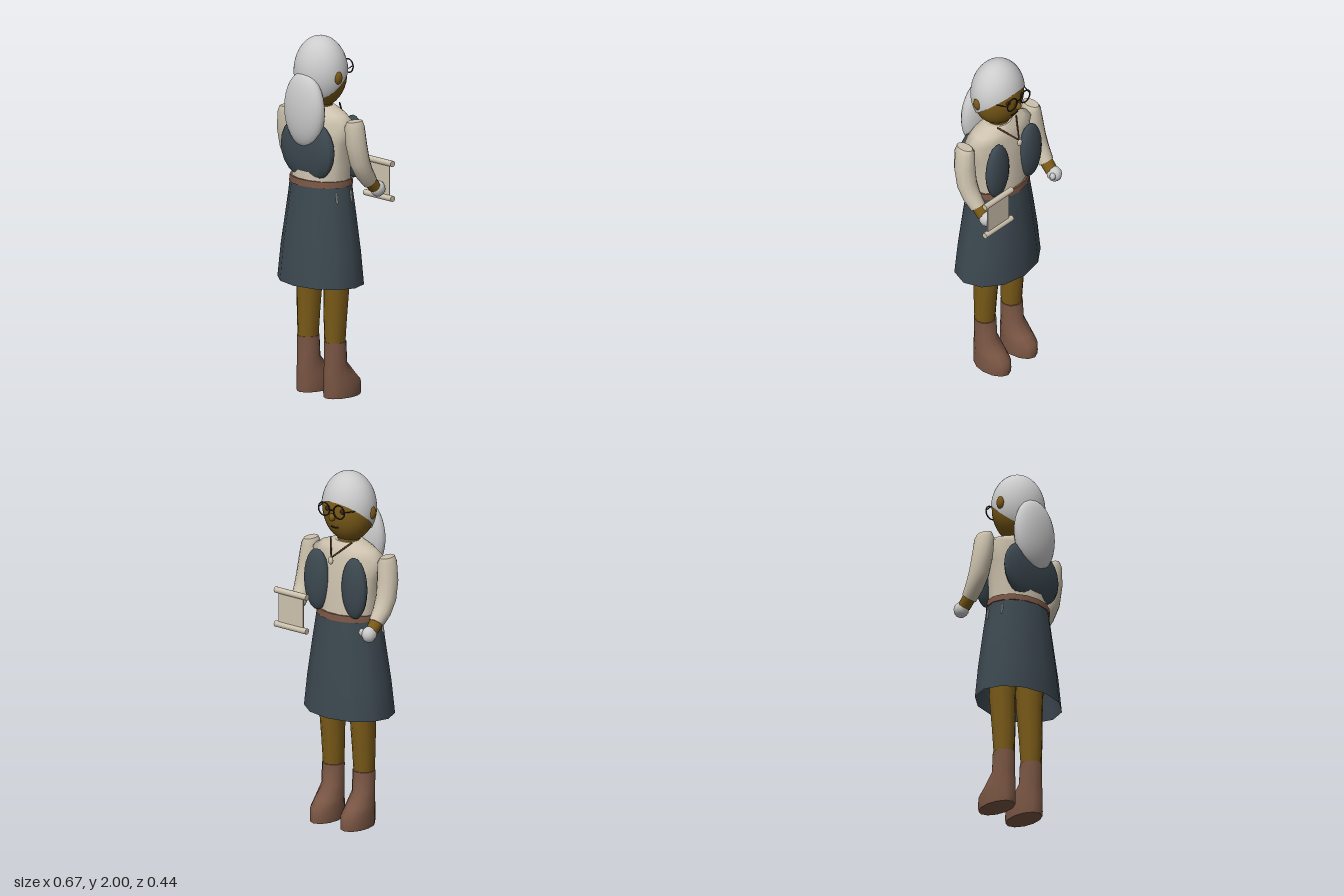
import * as THREE from 'three';

const mat = (color) => new THREE.MeshStandardMaterial({ color, side: THREE.DoubleSide });
const M = {
  hair: mat(0xcccccc), skin: mat(0x7a5a18), cloth: mat(0x3c4850), shirt: mat(0xcdc2ae),
  leather: mat(0x7a5644), dark: mat(0x33241c), cord: mat(0x5a3a20),
};

// Skin elliptical rings, bottom to top: [x, y, z, rx, rz, tilt]
function loft(rings, sides, capped = true) {
  const list = rings.slice();
  if (capped) {
    const closed = (r) => [r[0], r[1], r[2], 0, 0, 0];
    const first = rings[0], last = rings[rings.length - 1];
    list.unshift(closed(first), first);
    list.push(last, closed(last));
  }
  const pos = [], idx = [];
  list.forEach(([x, y, z, rx, rz, tilt = 0], j) => {
    for (let i = 0; i < sides; i++) {
      const a = (i / sides) * Math.PI * 2, s = Math.sin(a) * rz;
      pos.push(x + rx * Math.cos(a), y - s * Math.sin(tilt), z + s * Math.cos(tilt));
      if (j < list.length - 1) {
        const p = j * sides + i, q = j * sides + (i + 1) % sides;
        idx.push(p, p + sides, q, q, p + sides, q + sides);
      }
    }
  });
  const g = new THREE.BufferGeometry();
  g.setAttribute('position', new THREE.Float32BufferAttribute(pos, 3));
  g.setIndex(idx);
  g.computeVertexNormals();
  return g;
}

export function createModel() {
  const model = new THREE.Group();
  model.name = 'figure';
  const body = new THREE.Group();
  body.name = 'body';
  body.position.x = -0.005;
  model.add(body);

  const add = (name, geo, material, x = 0, y = 0, z = 0) => {
    const m = new THREE.Mesh(geo, material);
    m.name = name;
    m.position.set(x, y, z);
    body.add(m);
    return m;
  };
  const ball = (name, material, [x, y, z], [rx, ry, rz], w = 12, h = 9) => {
    const m = add(name, new THREE.SphereGeometry(1, w, h), material, x, y, z);
    m.scale.set(rx, ry, rz);
    return m;
  };
  const tube = (name, pts, r, material) => {
    const path = new THREE.CurvePath();
    const v = pts.map((p) => new THREE.Vector3(...p));
    for (let i = 1; i < v.length; i++) path.add(new THREE.LineCurve3(v[i - 1], v[i]));
    return add(name, new THREE.TubeGeometry(path, (v.length - 1) * 6, r, 6), material);
  };

  // Head with a tilted hair cap that leaves the face (-z) open
  ball('head', M.skin, [0, 1.8, 0.012], [0.152, 0.194, 0.135], 28, 20);
  const cap = new THREE.SphereGeometry(1, 32, 18, 0, Math.PI * 2, 0, 1.845);
  cap.rotateX(0.555).scale(0.157, 0.2, 0.141);
  add('hairCap', cap, M.hair, 0, 1.8, 0.013);
  ball('backHair', M.hair, [0, 1.605, 0.135], [0.146, 0.21, 0.066], 24, 16);
  add('neck', new THREE.CylinderGeometry(0.06, 0.065, 0.12, 12), M.skin, 0, 1.61, 0.01);

  // Face
  ball('nose', M.skin, [0, 1.775, -0.137], [0.018, 0.022, 0.02]);
  tube('mouth', [[-0.025, 1.713, -0.113], [0, 1.71, -0.115], [0.025, 1.713, -0.113]], 0.004, M.dark);
  tube('glassesBridge', [[-0.016, 1.817, -0.142], [0.016, 1.817, -0.142]], 0.004, M.dark);
  for (const s of [-1, 1]) {
    ball('ear', M.skin, [s * 0.15, 1.79, 0.025], [0.02, 0.037, 0.026], 8, 6);
    ball('eye', M.dark, [s * 0.052, 1.81, -0.112], [0.014, 0.014, 0.012]);
    add('glassesRim', new THREE.TorusGeometry(0.038, 0.004, 6, 20), M.dark, s * 0.052, 1.815, -0.142);
    tube('glassesArm', [[s * 0.088, 1.82, -0.14], [s * 0.15, 1.81, 0.02]], 0.003, M.dark);
  }

  // Shirt torso
  add('shirt', loft([
    [0, 1.18, 0.012, 0.183, 0.142], [0, 1.3, 0.012, 0.19, 0.136], [0, 1.43, 0.012, 0.205, 0.125],
    [0, 1.54, 0.012, 0.238, 0.108], [0, 1.58, 0.01, 0.175, 0.095], [0, 1.615, 0.01, 0.085, 0.07],
  ], 14), M.shirt);

  // Vest: one back panel, two front panels
  ball('vestBack', M.cloth, [0, 1.385, 0.112], [0.212, 0.18, 0.048], 14, 12);
  for (const s of [-1, 1])
    ball('vestFront', M.cloth, [s * 0.13, 1.385, -0.105], [0.084, 0.175, 0.042], 14, 12);

  // Belt and open skirt
  add('belt', loft([[0, 1.185, 0.012, 0.196, 0.154], [0, 1.22, 0.012, 0.192, 0.15]], 16), M.leather);
  add('skirt', loft([
    [0, 0.635, 0.015, 0.272, 0.202], [0, 0.82, 0.014, 0.25, 0.19],
    [0, 1.02, 0.012, 0.218, 0.17], [0, 1.195, 0.012, 0.19, 0.15],
  ], 12, false), M.cloth);

  // Pale pocket stitches on the skirt sides
  for (const s of [-1, 1]) for (const z of [0.07, -0.036]) {
    const stitch = add('pocketStitch', new THREE.BoxGeometry(0.008, 0.06, 0.008), M.hair, s * 0.187, 1.13, z);
    stitch.rotation.z = s * 0.16;
  }

  // Necklace
  tube('necklaceCord', [[-0.075, 1.625, -0.055], [0, 1.545, -0.145], [0.075, 1.625, -0.055]], 0.005, M.cord);
  ball('pendant', M.shirt, [0, 1.53, -0.15], [0.017, 0.022, 0.011]);

  for (const s of [-1, 1]) {
    // Sleeves bend forward at the elbow
    add('sleeve', loft([
      [s * 0.272, 1.215, -0.095, 0.043, 0.043, 0.75], [s * 0.276, 1.27, -0.05, 0.052, 0.05, 0.65],
      [s * 0.277, 1.34, -0.015, 0.057, 0.056, 0.35], [s * 0.272, 1.44, 0.006, 0.058, 0.06, 0.1],
      [s * 0.265, 1.535, 0.012, 0.05, 0.06], [s * 0.265, 1.567, 0.012, 0.03, 0.052],
    ], 12), M.shirt);
    add('wrist', loft([
      [s * 0.271, 1.175, -0.135, 0.035, 0.035, 0.75], [s * 0.272, 1.225, -0.088, 0.037, 0.037, 0.75],
    ], 10), M.skin);
    ball('hand', M.hair, [s * 0.271, 1.165, -0.155], [0.041, 0.045, 0.044], 10, 8);
    ball('thumb', M.hair, [s * 0.236, 1.175, -0.175], [0.016, 0.022, 0.018], 8, 6);

    // Legs and boots
    add('leg', loft([
      [s * 0.106, 0.28, 0.01, 0.057, 0.057], [s * 0.106, 0.45, 0.006, 0.064, 0.066],
      [s * 0.106, 0.64, -0.003, 0.07, 0.077], [s * 0.1, 1.0, 0.005, 0.08, 0.085],
    ], 10), M.skin);
    add('boot', loft([
      [s * 0.106, 0, -0.045, 0.073, 0.12], [s * 0.106, 0.025, -0.045, 0.075, 0.122],
      [s * 0.106, 0.08, -0.044, 0.075, 0.12], [s * 0.106, 0.12, -0.025, 0.071, 0.1],
      [s * 0.106, 0.19, 0.004, 0.063, 0.066], [s * 0.106, 0.31, 0.008, 0.062, 0.063],
    ], 12), M.leather);
  }

  // Scroll held in the left hand: two rods and a sheet
  for (const y of [1.11, 1.305]) {
    const rod = add('scrollRod', new THREE.CylinderGeometry(0.017, 0.017, 0.218, 12), M.shirt, 0.23, y, -0.203);
    rod.rotation.z = Math.PI / 2;
  }
  add('scrollSheet', new THREE.BoxGeometry(0.17, 0.195, 0.006), M.shirt, 0.23, 1.208, -0.203);

  return model;
}
